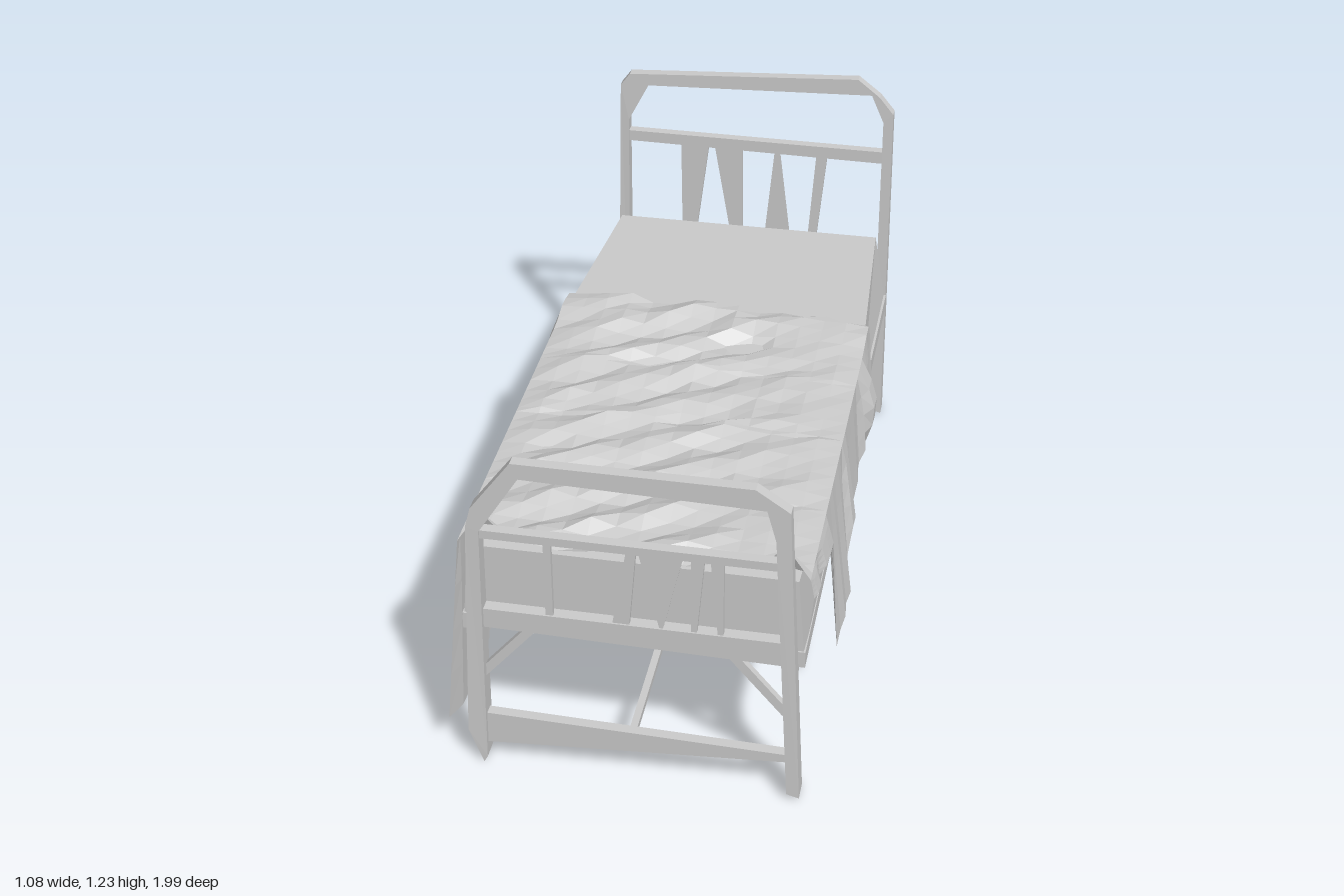
import * as THREE from 'three';

const mat = new THREE.MeshStandardMaterial({ color: 0xcccccc, flatShading: true });
const clothMat = new THREE.MeshStandardMaterial({ color: 0xcccccc, flatShading: true, side: THREE.DoubleSide });

function add(parent, name, geo, material = mat) {
  const mesh = new THREE.Mesh(geo, material);
  mesh.name = name;
  parent.add(mesh);
  return mesh;
}

// Flat outline in x,y extruded from z0 to z1
function plate(parent, name, pts, z0, z1) {
  const shape = new THREE.Shape(pts.map(p => new THREE.Vector2(p[0], p[1])));
  const geo = new THREE.ExtrudeGeometry(shape, { depth: z1 - z0, bevelEnabled: false });
  geo.translate(0, 0, z0);
  return add(parent, name, geo);
}

// Square bar between two points
function bar(parent, name, a, b, w, h) {
  const from = new THREE.Vector3(...a), to = new THREE.Vector3(...b);
  const mesh = add(parent, name, new THREE.BoxGeometry(w, h, from.distanceTo(to)));
  mesh.position.copy(from).lerp(to, 0.5);
  mesh.lookAt(to);
}

// Thin a hoop in z towards its top
function taper(geo, zMid, top) {
  const p = geo.attributes.position;
  for (let i = 0; i < p.count; i++) {
    p.setZ(i, zMid + (p.getZ(i) - zMid) * (1 - 0.45 * (p.getY(i) / top) ** 2));
  }
  geo.computeVertexNormals();
}

// Piecewise-linear lookup in [key, value] pairs
function lerpTable(table, k) {
  for (let i = 1; i < table.length; i++) {
    const [a, va] = table[i - 1], [b, vb] = table[i];
    if (k <= b) return va + (vb - va) * Math.max(0, (k - a) / (b - a));
  }
  return table[table.length - 1][1];
}

const noise = (i, j) => {
  const s = Math.sin(i * 127.1 + j * 311.7) * 43758.5453;
  return (s - Math.floor(s)) * 2 - 1;
};
const zigzag = t => Math.abs((((t % 1) + 1) % 1) * 2 - 1) * 2 - 1;
const peak = (v, centre, width) => Math.max(0, 1 - Math.abs(v - centre) / width);

// Frame at the foot: bent hoop, rails and crooked slats
function buildFootboard() {
  const g = new THREE.Group();
  g.name = 'footboard';
  const hoop = plate(g, 'footHoop', [
    [-0.41, 0.01], [-0.45, 0.12], [-0.425, 0.8], [-0.41, 0.86], [-0.3, 1.01], [0.33, 1.01], [0.42, 0.95],
    [0.465, 0.02], [0.43, 0.03], [0.385, 0.86], [0.36, 0.95], [-0.28, 0.965], [-0.39, 0.79], [-0.4, 0.03],
  ], 0.93, 0.99);
  taper(hoop.geometry, 0.96, 1.0);
  plate(g, 'footMiddleRail', [[-0.42, 0.765], [0.4, 0.765], [0.4, 0.79], [-0.42, 0.79]], 0.945, 0.975);
  plate(g, 'footLowerRail', [[-0.41, 0.47], [0.42, 0.455], [0.42, 0.53], [-0.41, 0.53]], 0.935, 0.97);
  plate(g, 'footFloorRail', [[-0.43, 0.07], [0.43, 0.13], [0.43, 0.155], [-0.43, 0.175]], 0.945, 0.975);
  [
    [[-0.225, 0.53], [-0.205, 0.53], [-0.205, 0.77], [-0.225, 0.77]],
    [[-0.045, 0.53], [0, 0.53], [0.02, 0.77], [-0.005, 0.77]],
    [[0.08, 0.53], [0.09, 0.53], [0.145, 0.77], [0.025, 0.77]],
    [[0.165, 0.53], [0.18, 0.53], [0.2, 0.77], [0.165, 0.77]],
    [[0.235, 0.53], [0.25, 0.53], [0.25, 0.77], [0.215, 0.77]],
  ].forEach((s, i) => plate(g, 'footSlat' + (i + 1), s, 0.95, 0.965));
  return g;
}

// Taller frame at the head
function buildHeadboard() {
  const g = new THREE.Group();
  g.name = 'headboard';
  const hoop = plate(g, 'headHoop', [
    [-0.41, 0.01], [-0.44, 0.1], [-0.42, 1.16], [-0.39, 1.2], [0.34, 1.24], [0.41, 1.185], [0.455, 1.13],
    [0.465, 0.02], [0.43, 0.03], [0.425, 1.1], [0.385, 1.19], [-0.33, 1.165], [-0.395, 1.04], [-0.4, 0.03],
  ], -0.998, -0.94);
  taper(hoop.geometry, -0.97, 1.23);
  plate(g, 'headMiddleRail', [[-0.41, 0.965], [0.43, 0.955], [0.43, 0.995], [-0.41, 1.0]], -0.985, -0.955);
  plate(g, 'headLowerRail', [[-0.41, 0.47], [0.43, 0.46], [0.43, 0.53], [-0.41, 0.53]], -0.98, -0.945);
  plate(g, 'headFloorRail', [[-0.42, 0.14], [0.43, 0.14], [0.43, 0.19], [-0.42, 0.175]], -0.985, -0.955);
  [
    [[-0.22, 0.53], [-0.19, 0.53], [-0.135, 0.965], [-0.225, 0.965]],
    [[-0.04, 0.53], [-0.02, 0.53], [-0.025, 0.965], [-0.115, 0.965]],
    [[0.04, 0.53], [0.15, 0.53], [0.095, 0.965], [0.08, 0.965]],
    [[0.185, 0.53], [0.21, 0.53], [0.25, 0.965], [0.215, 0.965]],
  ].forEach((s, i) => plate(g, 'headSlat' + (i + 1), s, -0.975, -0.96));
  return g;
}

// Crumpled blanket: one cross-section per z station, hem to hem
function buildBlanket() {
  // Hem height and hem distance from the middle, along z
  const left = {
    hem: [[-0.35, 0.47], [-0.17, 0.45], [-0.06, 0.46], [0, 0.43], [0.27, 0.42], [0.29, 0.27], [0.45, 0.28],
      [0.61, 0.25], [0.63, 0.62], [0.93, 0.65]],
    out: [[-0.35, 0.48], [-0.15, 0.51], [0, 0.49], [0.28, 0.5], [0.45, 0.525], [0.61, 0.5], [0.63, 0.485], [0.93, 0.475]],
  };
  const right = {
    hem: [[-0.4, 0.27], [-0.2, 0.23], [-0.02, 0.2], [0, 0.26], [0.38, 0.165], [0.6, 0.155], [0.88, 0.115], [0.93, 0.14]],
    out: [[-0.4, 0.55], [-0.2, 0.53], [0, 0.535], [0.25, 0.495], [0.6, 0.485], [0.85, 0.495], [0.93, 0.51]],
  };
  const stations = [-0.37, -0.33, -0.28, -0.22, -0.17, -0.11, -0.06, -0.02, 0, 0.06, 0.12, 0.18, 0.23, 0.27, 0.29,
    0.34, 0.39, 0.45, 0.5, 0.55, 0.61, 0.63, 0.69, 0.75, 0.8, 0.85, 0.89, 0.92];
  const across = 14, drop = 4, n = across + 1 + drop * 2, last = stations.length - 1;
  const pos = [], index = [];
  stations.forEach((z, i) => {
    // Hanging side: s is +1 or -1, k runs from 0 at the top to 1 at the hem
    const side = (s, k) => {
      const t = s > 0 ? left : right;
      const hem = lerpTable(t.hem, z), out = lerpTable(t.out, z);
      const bulge = (s > 0 ? peak(z, -0.14, 0.09) * 0.055 : peak(z, -0.33, 0.1) * 0.045) * Math.sin(k * Math.PI);
      const fold = noise(i, s * 3) * 0.009 * (0.3 + k);
      const corner = s < 0 ? (i === 0 ? -0.04 : i === last ? 0.05 : 0) * k : 0;
      pos.push(s * (0.468 + k * (out - 0.468) + bulge + fold), 0.705 + (hem - 0.705) * k, z + corner);
    };
    for (let j = drop; j > 0; j--) side(-1, j / drop);
    // Top: slanting pleats, a rolled head edge and a hollow near the middle
    for (let j = 0; j <= across; j++) {
      const u = j / across * 2 - 1, x = u * 0.468;
      const inner = 1 - Math.pow(Math.abs(u), 6);
      const ridge = zigzag((z + x * 0.55) * 5.5) * (x < 0.2 ? 0.016 : 0.006);
      const roll = peak(z, -0.3, 0.1) * (0.02 + 0.012 * noise(j, 5));
      const hollow = peak(z, -0.17, 0.08) * peak(x, 0.1, 0.15) * 0.025;
      const lift = i === last && Math.abs(u) > 0.8 && Math.abs(u) < 0.95 ? 0.09 : 0;
      const y = 0.715 + inner * (ridge + noise(i, j) * 0.006 + 0.007) + roll - hollow + lift - (1 - inner) * 0.008;
      pos.push(x, y, z + (i === 0 ? noise(j, 9) * 0.015 + Math.max(0, u) * 0.025 : 0));
    }
    for (let j = 1; j <= drop; j++) side(1, j / drop);
  });
  for (let i = 0; i < last; i++) {
    for (let j = 0; j < n - 1; j++) {
      const a = i * n + j, b = a + 1, c = a + n, d = c + 1;
      index.push(a, c, b, b, c, d);
    }
  }
  const geo = new THREE.BufferGeometry();
  geo.setAttribute('position', new THREE.Float32BufferAttribute(pos, 3));
  geo.setIndex(index);
  geo.computeVertexNormals();
  return geo;
}

// Mattress whose top narrows and dips towards the head
function buildMattress() {
  const geo = new THREE.BoxGeometry(0.92, 0.255, 1.87, 1, 1, 3);
  geo.translate(0, 0.578, -0.005);
  const p = geo.attributes.position;
  for (let i = 0; i < p.count; i++) {
    const head = p.getZ(i) < -0.9, foot = p.getZ(i) > 0.9;
    if (p.getY(i) > 0.578) {
      p.setX(i, Math.sign(p.getX(i)) * (head ? 0.42 : foot ? 0.44 : 0.458));
      if (head) p.setY(i, 0.695);
    }
  }
  geo.computeVertexNormals();
  return geo;
}

export function createModel() {
  const bed = new THREE.Group();
  bed.name = 'bed';
  bed.add(buildFootboard(), buildHeadboard());
  add(bed, 'mattress', buildMattress());

  // Side rails and diagonal braces
  for (const s of [1, -1]) {
    const side = s > 0 ? 'left' : 'right';
    bar(bed, side + 'SideRail', [s * 0.45, 0.455, -0.945], [s * 0.45, 0.455, 0.935], 0.025, 0.05);
    for (const [end, z] of [['Head', -1], ['Foot', 1]]) {
      bar(bed, side + end + 'EndBrace', [s * 0.42, 0.29, z * 0.955], [s * 0.27, 0.47, z * 0.955], 0.02, 0.025);
      bar(bed, side + end + 'SideBrace', [s * 0.43, 0.34, z * 0.95], [s * 0.43, 0.46, z * 0.79], 0.02, 0.025);
    }
  }
  bar(bed, 'floorStretcher', [0, 0.14, -0.96], [0, 0.14, 0.96], 0.02, 0.02);

  add(bed, 'blanket', buildBlanket(), clothMat);
  return bed;
}
